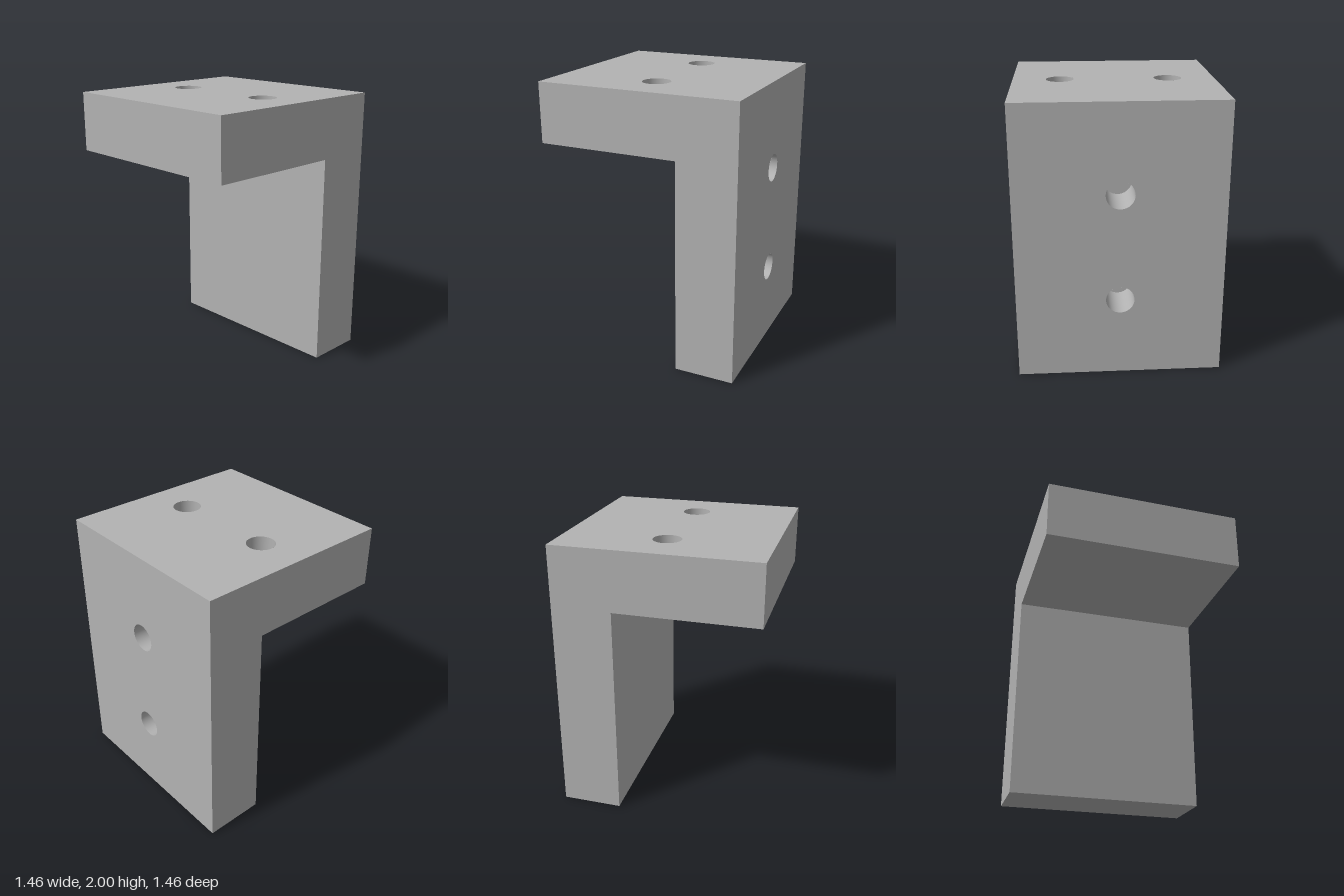
import * as THREE from 'three';

const W = 1.46, H = 2, D = 1.46, T = 0.435; // overall size and plate thickness
const R = 0.1, DEPTH = 0.3, SEG = 48;       // blind screw holes

export function createModel() {
  const model = new THREE.Group();
  model.name = 'angleBracket';
  const grey = new THREE.MeshStandardMaterial({ color: 0xb2b2b2, side: THREE.DoubleSide });
  grey.name = 'plain grey';

  const add = (name, geometry, x, y, z, parent = model) => {
    const mesh = new THREE.Mesh(geometry, grey);
    mesh.name = name;
    mesh.position.set(x, y, z);
    parent.add(mesh);
    return mesh;
  };

  // Rectangular face centred on its origin, pierced by round holes
  const piercedFace = (w, h, holes) => {
    const s = new THREE.Shape([[-w, -h], [w, -h], [w, h], [-w, h]]
      .map(([x, y]) => new THREE.Vector2(x / 2, y / 2)));
    for (const [x, y] of holes) s.holes.push(new THREE.Path().absarc(x, y, R, 0, Math.PI * 2, true));
    return new THREE.ShapeGeometry(s, SEG);
  };

  // Blind hole sunk along -y from its origin
  const addHole = (name, x, y, z, tilt) => {
    const hole = new THREE.Group();
    hole.name = name;
    hole.position.set(x, y, z);
    hole.rotation.x = tilt;
    add('holeWall', new THREE.CylinderGeometry(R, R, DEPTH, SEG, 1, true), 0, -DEPTH / 2, 0, hole);
    add('holeFloor', new THREE.CircleGeometry(R, SEG).rotateX(-Math.PI / 2), 0, -DEPTH, 0, hole);
    model.add(hole);
  };

  // L-shaped ends, drawn with the front towards -x and turned sideways
  const profile = new THREE.Shape([
    [D / 2 - T, 0], [D / 2, 0], [D / 2, H], [-D / 2, H], [-D / 2, H - T], [D / 2 - T, H - T],
  ].map(([u, y]) => new THREE.Vector2(u, y)));
  add('leftEnd', new THREE.ShapeGeometry(profile).rotateY(Math.PI / 2), W / 2, 0, 0);
  // Mirrored end faces the other way
  const rightEnd = add('rightEnd', new THREE.ShapeGeometry(profile).rotateY(Math.PI / 2), -W / 2, 0, 0);
  rightEnd.scale.x = -1;

  // Top and back faces with their holes
  const topX = [-0.39, 0.39], backY = [1.366, 0.584];
  add('topFace', piercedFace(W, D, topX.map(x => [x, 0])).rotateX(-Math.PI / 2), 0, H, 0);
  add('backFace', piercedFace(W, H, backY.map(y => [0, y - H / 2])).rotateY(Math.PI), 0, H / 2, -D / 2);
  topX.forEach(x => addHole('topHole', x, H, 0, 0));
  backY.forEach(y => addHole('backHole', 0, y, -D / 2, -Math.PI / 2));

  // Plain front and under faces
  const inner = -D / 2 + T;
  add('shelfFront', new THREE.PlaneGeometry(W, T), 0, H - T / 2, D / 2);
  add('uprightFront', new THREE.PlaneGeometry(W, H - T), 0, (H - T) / 2, inner);
  add('shelfUnderside', new THREE.PlaneGeometry(W, D - T).rotateX(Math.PI / 2), 0, H - T, (inner + D / 2) / 2);
  add('uprightBase', new THREE.PlaneGeometry(W, T).rotateX(Math.PI / 2), 0, 0, -D / 2 + T / 2);

  return model;
}
